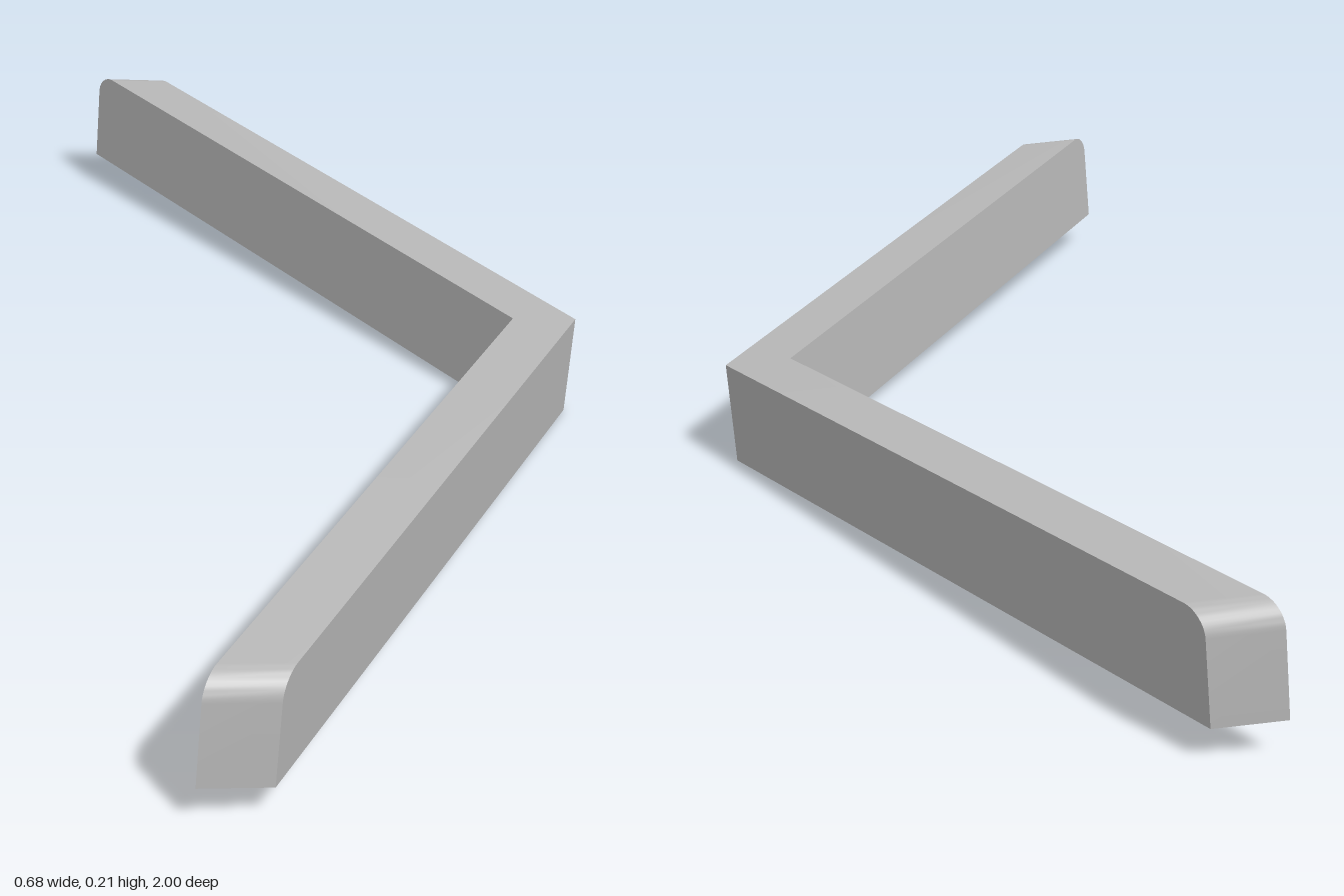
import * as THREE from 'three';
import { toCreasedNormals } from 'three/addons/utils/BufferGeometryUtils.js';

const HEIGHT = 0.159, WIDTH = 0.099, LENGTH = 0.674, ROUND = 0.035, ARC_STEPS = 10;
const SWEEP = LENGTH - WIDTH; // how far the apex lies ahead of the arm tips

export function createModel() {
  const group = new THREE.Group();
  group.name = 'chevron';
  const grey = new THREE.MeshStandardMaterial({ color: 0xb8b8b8 });
  grey.name = 'grey';

  // Distance along z and top height, from apex to rounded arm tip
  const arm = [[0, HEIGHT]];
  for (let i = 0; i <= ARC_STEPS; i++) {
    const t = (i / ARC_STEPS) * Math.PI / 2;
    arm.push([1 - ROUND + ROUND * Math.sin(t), HEIGHT - ROUND + ROUND * Math.cos(t)]);
  }
  const stations = [...arm.slice(1).reverse().map(([z, y]) => [-z, y]), ...arm];

  // Four-cornered cross-sections following the bent bar
  const rings = stations.map(([z, top]) => {
    const inner = SWEEP * (1 - Math.abs(z)), outer = inner + WIDTH;
    return [[inner, 0, z], [outer, 0, z], [outer, top, z], [inner, top, z]];
  });

  const positions = [];
  const quad = (a, b, c, d) => positions.push(...a, ...b, ...c, ...a, ...c, ...d);
  for (let i = 0; i < rings.length - 1; i++) {
    const a = rings[i], b = rings[i + 1];
    for (let j = 0; j < 4; j++) {
      const k = (j + 1) % 4;
      quad(a[j], a[k], b[k], b[j]);
    }
  }
  // Flat arm ends
  quad(...rings[rings.length - 1]);
  quad(...[...rings[0]].reverse());

  const geometry = new THREE.BufferGeometry();
  geometry.setAttribute('position', new THREE.Float32BufferAttribute(positions, 3));
  const bar = new THREE.Mesh(toCreasedNormals(geometry, 0.5), grey);
  bar.name = 'bentBar';

  // Tip the apex down to the ground
  bar.rotation.z = -THREE.MathUtils.degToRad(4.8);
  bar.position.set(-0.343, 0.0565, 0);
  group.add(bar);
  return group;
}
